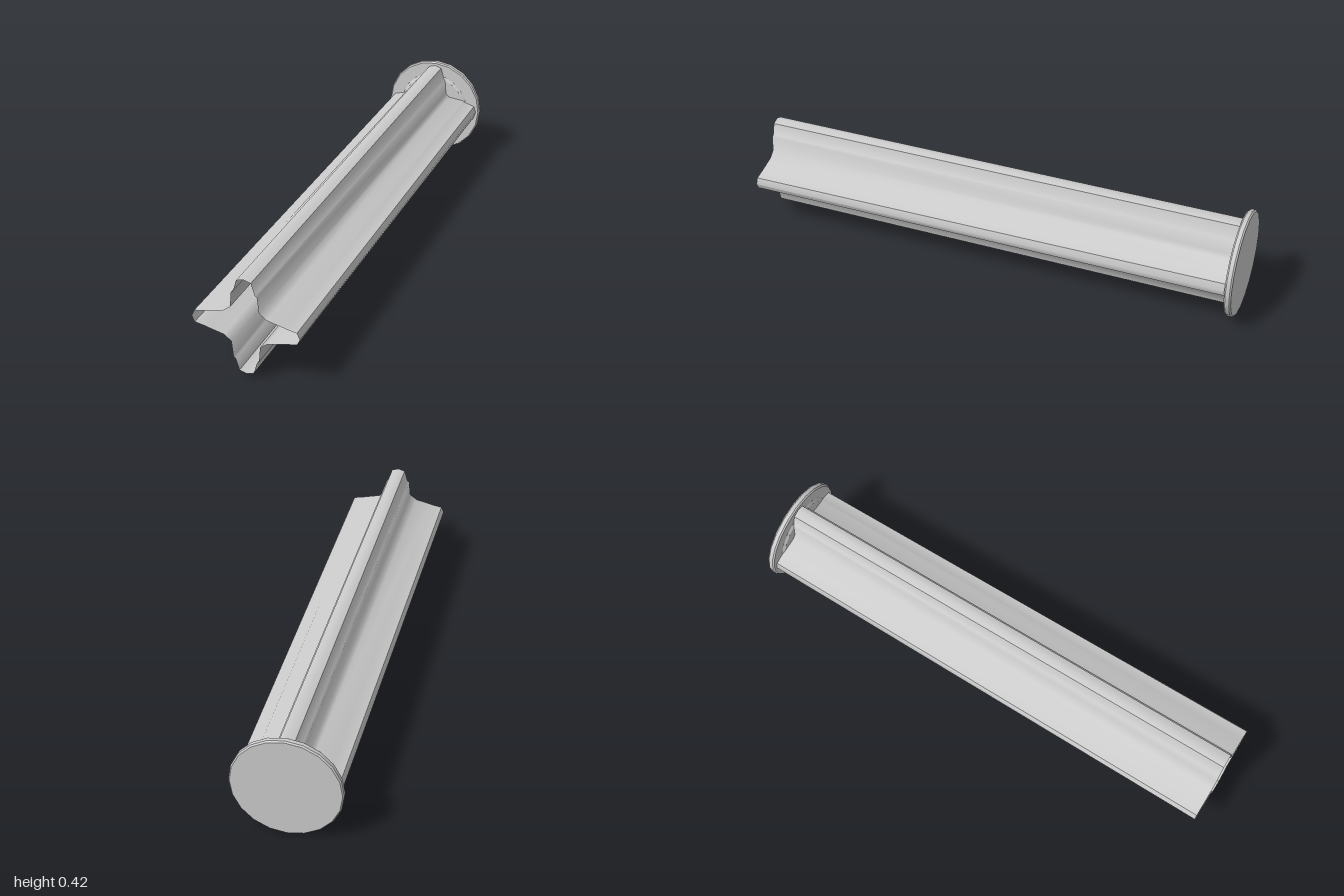
import * as THREE from 'three';
import { toCreasedNormals } from 'three/addons/utils/BufferGeometryUtils.js';

const CENTRE_Y = 0.211;

// Half of one lobe as [distance along the lobe, half width], tip first.
const BACK_LOBE = [[0.196, 0], [0.187, 0.028], [0.14, 0.042], [0.134, 0.05], [0.071, 0.056]];
const FRONT_SIDE_LOBE = [[0.21, 0], [0.199, 0.024], [0.156, 0.032], [0.15, 0.034], [0.085, 0.049]];

// Closed four-lobed cross-section, counter-clockwise from the +x tip.
function crossSection(sideLobe, uprightLobe) {
  const points = [];
  for (let i = 0; i < 4; i++) {
    const lobe = i % 2 ? uprightLobe : sideLobe;
    const c = Math.round(Math.cos(i * Math.PI / 2));
    const s = Math.round(Math.sin(i * Math.PI / 2));
    const full = [
      ...lobe.slice(1).reverse().map(([d, w]) => [d, -w]),
      ...lobe,
    ];
    for (const [d, w] of full) points.push([d * c - w * s, d * s + w * c]);
  }
  return points;
}

// Open-ended skin between two matching cross-sections.
function loftSkin(back, front, zBack, zFront) {
  const n = back.length;
  const positions = [];
  const index = [];
  for (const [x, y] of back) positions.push(x, y, zBack);
  for (const [x, y] of front) positions.push(x, y, zFront);
  for (let i = 0; i < n; i++) {
    const j = (i + 1) % n;
    index.push(i, j, n + j, i, n + j, n + i);
  }
  const geometry = new THREE.BufferGeometry();
  geometry.setAttribute('position', new THREE.Float32BufferAttribute(positions, 3));
  geometry.setIndex(index);
  return geometry;
}

export function createModel() {
  const group = new THREE.Group();
  group.name = 'flutedTubeWithCap';

  const grey = new THREE.MeshStandardMaterial({ color: 0xcccccc, side: THREE.DoubleSide });
  grey.name = 'light grey';

  // Hollow fluted tube, its side lobes flaring towards the open front
  const skin = loftSkin(
    crossSection(BACK_LOBE, BACK_LOBE),
    crossSection(FRONT_SIDE_LOBE, BACK_LOBE),
    -0.97, 1
  );
  const tube = new THREE.Mesh(toCreasedNormals(skin, 0.85), grey);
  tube.name = 'flutedTube';
  tube.position.y = CENTRE_Y;
  group.add(tube);

  // Twenty-sided end cap with softened rim and a shallow raised centre
  const profile = [
    [0, 0], [0.206, 0], [0.211, 0.006], [0.211, 0.022], [0.206, 0.028],
    [0.152, 0.028], [0.142, 0.035], [0, 0.035],
  ].map(([r, h]) => new THREE.Vector2(r, h));
  const capGeometry = new THREE.LatheGeometry(profile, 20);
  capGeometry.rotateX(Math.PI / 2);
  const cap = new THREE.Mesh(toCreasedNormals(capGeometry, 0.5), grey);
  cap.name = 'endCap';
  cap.position.set(0, CENTRE_Y, -1);
  group.add(cap);

  return group;
}
